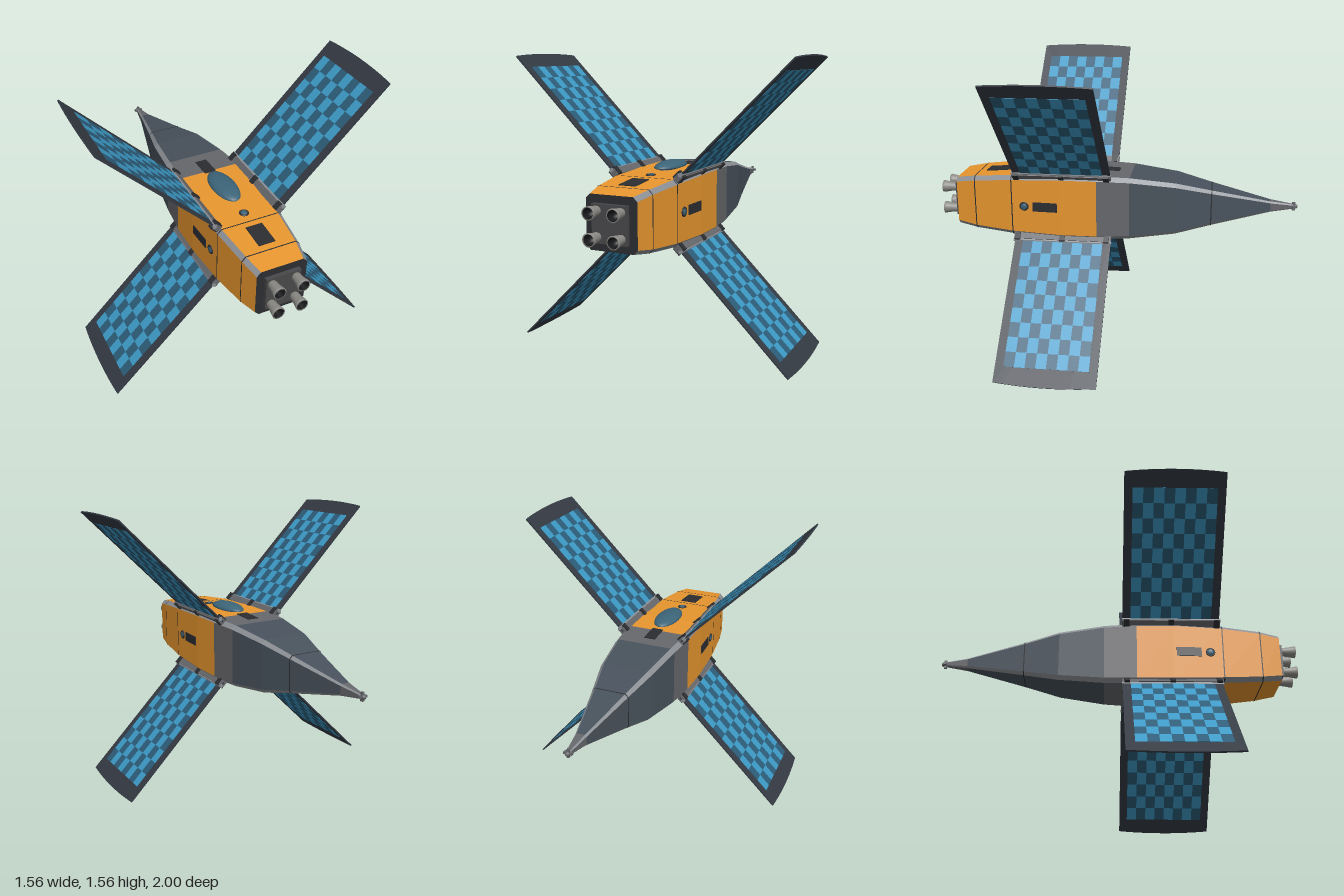
import * as THREE from 'three';
import { mergeGeometries } from 'three/addons/utils/BufferGeometryUtils.js';

const CY = 0.782; // height of the long axis
const mat = (color, extra = {}) => new THREE.MeshStandardMaterial({ color, ...extra });
const ORANGE = mat(0xe8962e, { flatShading: true });
const GREY = mat(0x66676b, { flatShading: true });
const SLATE = mat(0x48525c, { flatShading: true });
const RAIL = mat(0x8b8f94, { flatShading: true });
const DARK = mat(0x2b2d31);
const BLACK = mat(0x17181a, { side: THREE.DoubleSide });
const FRAME = mat(0x343a43);
const CELL_A = mat(0x3c9ac6);
const CELL_B = mat(0x2c5c78);
const GLASS = mat(0x3c6478);
const METAL = mat(0x8c8b86, { side: THREE.DoubleSide });

// hull stations: z, half width, half height, corner chamfer
const HULL = [
  [0.9, 0.138, 0.136, 0.022], [0.79, 0.159, 0.153, 0.022], [0.575, 0.183, 0.171, 0.023],
  [0.3, 0.195, 0.182, 0.024], [0.1, 0.192, 0.182, 0.024], [-0.08, 0.177, 0.174, 0.022],
  [-0.33, 0.146, 0.145, 0.02], [-0.525, 0.1, 0.1, 0.016], [-0.85, 0.03, 0.03, 0.009],
  [-0.975, 0.012, 0.012, 0.005],
];

function station(z) {
  let i = 0;
  while (i < HULL.length - 2 && HULL[i + 1][0] > z) i++;
  const a = HULL[i], b = HULL[i + 1], t = (z - a[0]) / (b[0] - a[0]);
  return a.map((v, k) => v + (b[k] - v) * t);
}

// eight corners, counter-clockwise seen from +z; even sides are walls, odd are chamfers
const ring = ([z, w, h, c], grow = 0) => {
  w += grow; h += grow;
  return [[w, -h + c], [w, h - c], [w - c, h], [-w + c, h], [-w, h - c], [-w, -h + c], [-w + c, -h], [w - c, -h]]
    .map(([x, y]) => [x, y, z]);
};

function loft(stations, sides, grow = 0) {
  const p = [];
  for (let s = 0; s < stations.length - 1; s++) {
    const f = ring(stations[s], grow), b = ring(stations[s + 1], grow);
    for (const i of sides) {
      const j = (i + 1) % 8;
      p.push(...f[i], ...b[i], ...b[j], ...f[i], ...b[j], ...f[j]);
    }
  }
  const g = new THREE.BufferGeometry();
  g.setAttribute('position', new THREE.Float32BufferAttribute(p, 3));
  g.computeVertexNormals();
  return g;
}

function add(parent, name, geometry, material, x = 0, y = 0, z = 0) {
  const m = new THREE.Mesh(geometry, material);
  m.name = name;
  m.position.set(x, y, z);
  parent.add(m);
  return m;
}

const box = (w, h, d) => new THREE.BoxGeometry(w, h, d);

function buildHull(g) {
  const walls = [0, 2, 4, 6], chamfers = [1, 3, 5, 7], all = [...walls, ...chamfers];
  add(g, 'cabin', loft(HULL.slice(0, 5), walls), ORANGE);
  add(g, 'greyBand', loft(HULL.slice(4, 6), walls), GREY);
  add(g, 'nose', loft(HULL.slice(5, 9), walls), SLATE);
  add(g, 'noseTip', loft(HULL.slice(8), walls), GREY);
  add(g, 'cornerRails', loft(HULL, chamfers), RAIL);
  for (const z of [0.79, 0.575, -0.525])
    add(g, 'seam', loft([station(z + 0.003), station(z - 0.003)], all, 0.0015), DARK);

  // engine end
  const cap = new THREE.Shape(ring(HULL[0]).map(([x, y]) => new THREE.Vector2(x, y)));
  add(g, 'engineBulkhead', new THREE.ShapeGeometry(cap), DARK, 0, 0, 0.9);
  add(g, 'enginePlate', box(0.19, 0.19, 0.03), mat(0x48484a), 0, 0, 0.907);

  // probe at the nose
  add(g, 'noseProbe', new THREE.SphereGeometry(0.013, 12, 8), GREY, 0, 0, -0.987);
  for (const r of [0, Math.PI / 2])
    add(g, 'noseProbeArm', box(0.046, 0.012, 0.016), GREY, 0, 0, -0.978).rotation.z = r;
}

function buildNozzles(g) {
  const outer = [[0.021, 0], [0.025, 0.012], [0.026, 0.035], [0.032, 0.065], [0.034, 0.08], [0.028, 0.08]];
  const inner = [[0.028, 0.08], [0.023, 0.05], [0.018, 0.02], [0, 0.018]];
  const lathe = (pts) => new THREE.LatheGeometry(pts.map(([x, y]) => new THREE.Vector2(x, y)), 24).rotateX(Math.PI / 2);
  for (const x of [-0.065, 0.065]) for (const y of [-0.063, 0.063]) {
    add(g, 'nozzle', lathe(outer), METAL, x, y, 0.92);
    add(g, 'nozzleThroat', lathe(inner), BLACK, x, y, 0.92);
  }
}

// hull wall facing: 0 = left, 1 = top, 2 = right, 3 = bottom
function wallFitting(g, name, geometry, material, wall, z, lift = 0) {
  const pivot = new THREE.Group();
  pivot.rotation.z = (wall - 1) * Math.PI / 2;
  const k = wall % 2 ? 2 : 1;
  const m = add(pivot, name, geometry, material, 0, station(z)[k] + lift, z);
  m.rotation.x = Math.atan2(station(z - 0.04)[k] - station(z + 0.04)[k], 0.08);
  g.add(pivot);
  return m;
}

function buildFittings(g) {
  for (let wall = 0; wall < 4; wall++) {
    wallFitting(g, 'port', new THREE.SphereGeometry(0.019, 16, 10).scale(1, 0.4, 1), GLASS, wall, 0.505, 0.002);
    wallFitting(g, 'portRim', new THREE.TorusGeometry(0.021, 0.005, 8, 24).rotateX(Math.PI / 2), DARK, wall, 0.505, 0.001);
  }
  for (const wall of [0, 2]) wallFitting(g, 'sideWindow', box(0.052, 0.01, 0.137), DARK, wall, 0.387);
  wallFitting(g, 'rearHatch', box(0.092, 0.008, 0.14), DARK, 1, 0.68);
  wallFitting(g, 'frontHatch', box(0.064, 0.008, 0.125), DARK, 1, 0.052);

  // oval canopy on a short neck
  add(g, 'canopyNeck', new THREE.CylinderGeometry(0.042, 0.05, 0.02, 24).scale(1, 1, 2.1), DARK, 0, 0.185, 0.275);
  const dome = new THREE.SphereGeometry(1, 32, 12, 0, Math.PI * 2, 0, Math.PI / 2).scale(0.067, 0.032, 0.145);
  const under = new THREE.SphereGeometry(1, 32, 8, 0, Math.PI * 2, Math.PI / 2, Math.PI / 2).scale(0.067, 0.012, 0.145);
  add(g, 'canopy', mergeGeometries([dome, under]), GLASS, 0, 0.192, 0.275);
}

// one solar wing, reaching out along its own +x
function buildWing() {
  const wing = new THREE.Group();
  wing.name = 'solarWing';
  const s = new THREE.Shape();
  s.moveTo(0.25, 0.02);
  s.lineTo(1.083, 0.02);
  s.quadraticCurveTo(1.111, 0.29, 1.083, 0.56);
  s.lineTo(0.25, 0.56);
  const slab = new THREE.ExtrudeGeometry(s, { depth: 0.008, bevelEnabled: false, curveSegments: 12 });
  slab.rotateX(Math.PI / 2).translate(0, 0.004, 0);
  add(wing, 'panelFrame', slab, FRAME);

  // checkered cells, showing on both faces
  const cells = [[], []], rows = 9, cols = 8, dr = 0.725 / rows, dz = 0.45 / cols;
  for (let i = 0; i < rows; i++) for (let j = 0; j < cols; j++)
    cells[(i + j) % 2].push(box(dr, 0.011, dz).translate(0.275 + (i + 0.5) * dr, 0, 0.065 + (j + 0.5) * dz));
  add(wing, 'brightCells', mergeGeometries(cells[0]), CELL_A);
  add(wing, 'darkCells', mergeGeometries(cells[1]), CELL_B);

  // hinge bar with brackets
  add(wing, 'hingeBar', box(0.04, 0.032, 0.545), GREY, 0.255, 0, 0.293);
  for (const z of [0.045, 0.293, 0.545]) add(wing, 'hingeBracket', box(0.046, 0.046, 0.03), DARK, 0.258, 0, z);
  add(wing, 'hingePin', new THREE.CylinderGeometry(0.011, 0.011, 0.55, 12).rotateX(Math.PI / 2), RAIL, 0.275, 0, 0.293);
  return wing;
}

export function createModel() {
  const model = new THREE.Group();
  model.name = 'spacecraft';
  const body = new THREE.Group();
  body.name = 'body';
  body.position.y = CY;
  model.add(body);
  buildHull(body);
  buildNozzles(body);
  buildFittings(body);
  for (let i = 0; i < 4; i++) {
    const wing = buildWing();
    wing.rotation.z = Math.PI / 4 + i * Math.PI / 2;
    body.add(wing);
  }
  return model;
}
